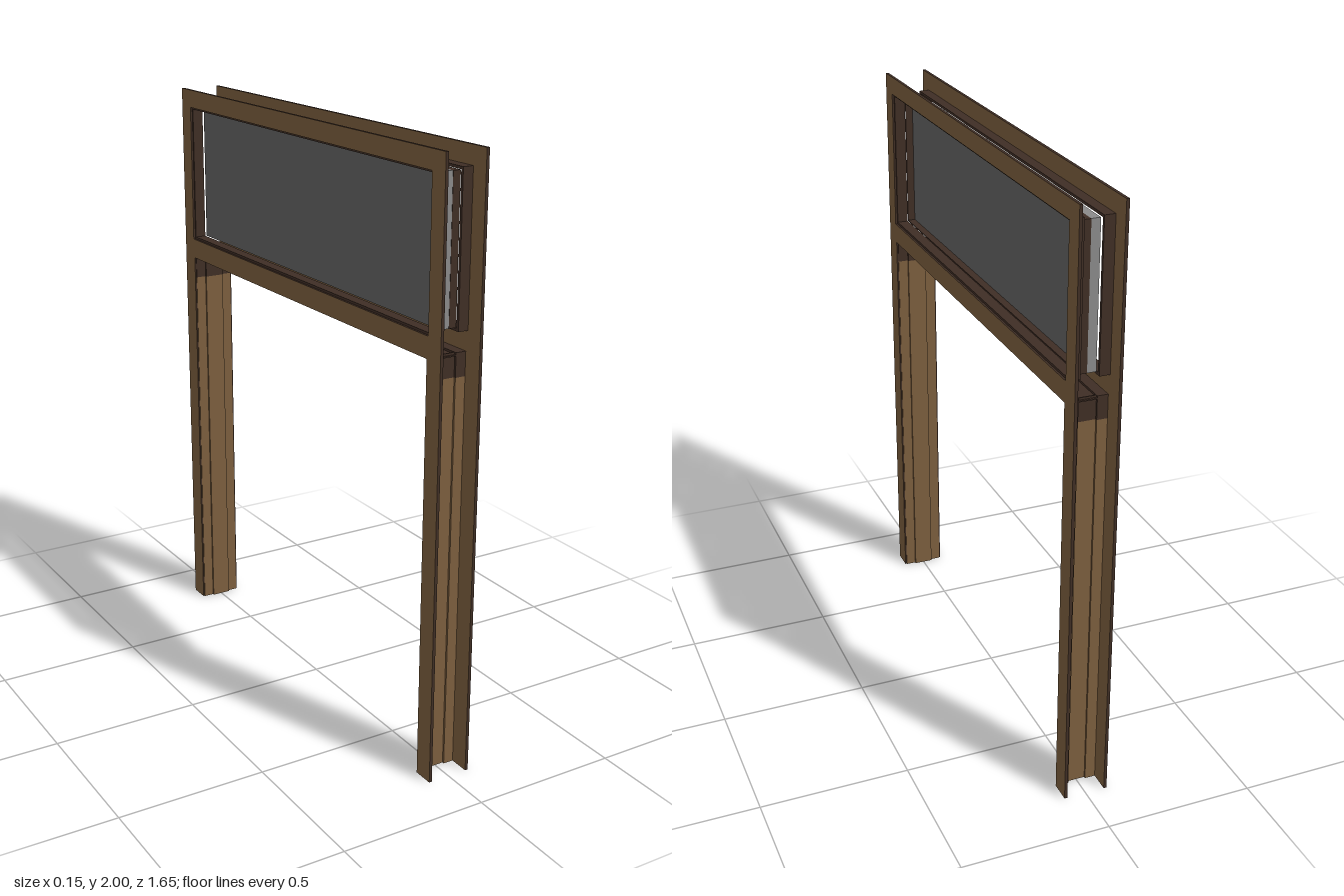
import * as THREE from 'three';

const mat = (name, color) => {
  const m = new THREE.MeshStandardMaterial({ color });
  m.name = name;
  return m;
};

// Rectangle outline between two corners
const rect = (C, x0, y0, x1, y1) => {
  const s = new C();
  s.moveTo(x0, y0);
  s.lineTo(x1, y0);
  s.lineTo(x1, y1);
  s.lineTo(x0, y1);
  s.closePath();
  return s;
};

const polygon = (pts) => new THREE.Shape(pts.map(([x, y]) => new THREE.Vector2(x, y)));

const extrude = (shape, depth) => new THREE.ExtrudeGeometry(shape, { depth, bevelEnabled: false });

// Extrude a shape drawn in the z-y plane from x0 to x1
const slab = (shape, x0, x1) => extrude(shape, x1 - x0).rotateY(Math.PI / 2).translate(x0, 0, 0);

export function createModel() {
  const model = new THREE.Group();
  model.name = 'doorFrameWithTransom';
  const bronze = mat('bronze', 0x7b5e3e);
  const dark = mat('darkBronze', 0x3f2e25);
  const glass = mat('glassGrey', 0x626262);
  const glassEdge = mat('glassEdgeGrey', 0x8a8a8a);

  const add = (name, geometry, material) => {
    const mesh = new THREE.Mesh(geometry, material);
    mesh.name = name;
    model.add(mesh);
    return mesh;
  };

  // Face trims: legs, mullion and head in one plate, with the transom opening cut out
  const face = polygon([
    [-0.825, 0], [-0.755, 0], [-0.755, 1.385], [0.755, 1.385],
    [0.755, 0], [0.825, 0], [0.825, 2], [-0.825, 2],
  ]);
  face.holes.push(rect(THREE.Path, -0.76, 1.455, 0.76, 1.938));
  add('leftFaceTrim', slab(face, 0.065, 0.075), [bronze, dark]);
  add('rightFaceTrim', slab(face, -0.075, -0.065), [bronze, dark]);

  // Returns lining the transom opening behind each face trim
  const lining = rect(THREE.Shape, -0.764, 1.453, 0.764, 1.94);
  lining.holes.push(rect(THREE.Path, -0.754, 1.463, 0.754, 1.931));
  add('leftTransomReturn', slab(lining, 0.03, 0.068), dark);
  add('rightTransomReturn', slab(lining, -0.068, -0.03), dark);

  // Transom pane and its glazing bead
  add('transomPane', slab(rect(THREE.Shape, -0.751, 1.464, 0.751, 1.93), -0.026, 0.004), [glass, glassEdge]);
  const bead = rect(THREE.Shape, -0.752, 1.464, 0.752, 1.93);
  bead.holes.push(rect(THREE.Path, -0.748, 1.468, 0.748, 1.926));
  add('glazingBead', slab(bead, 0.004, 0.03), dark);

  // Folded sheet profile with a raised door stop; y grows away from the opening
  const sheet = polygon([
    [-0.07, 0.007], [-0.034, 0.007], [-0.034, 0], [0.034, 0], [0.034, 0.007], [0.07, 0.007],
    [0.07, 0.011], [0.03, 0.011], [0.03, 0.004], [-0.03, 0.004], [-0.03, 0.011], [-0.07, 0.011],
  ]);

  // Jambs, each with a darker section under the head
  for (const [name, turn] of [['backJamb', 0], ['frontJamb', Math.PI]]) {
    for (const [part, y0, y1, material] of [['', 0, 1.31, bronze], ['Top', 1.31, 1.388, dark]]) {
      const g = extrude(sheet, y1 - y0).rotateX(-Math.PI / 2).translate(0, y0, -0.745).rotateY(turn);
      add(name + part, g, material);
    }
  }

  // Head of the door opening
  add('doorHead', extrude(sheet, 1.512).translate(0, 1.377, -0.756), dark);

  return model;
}
